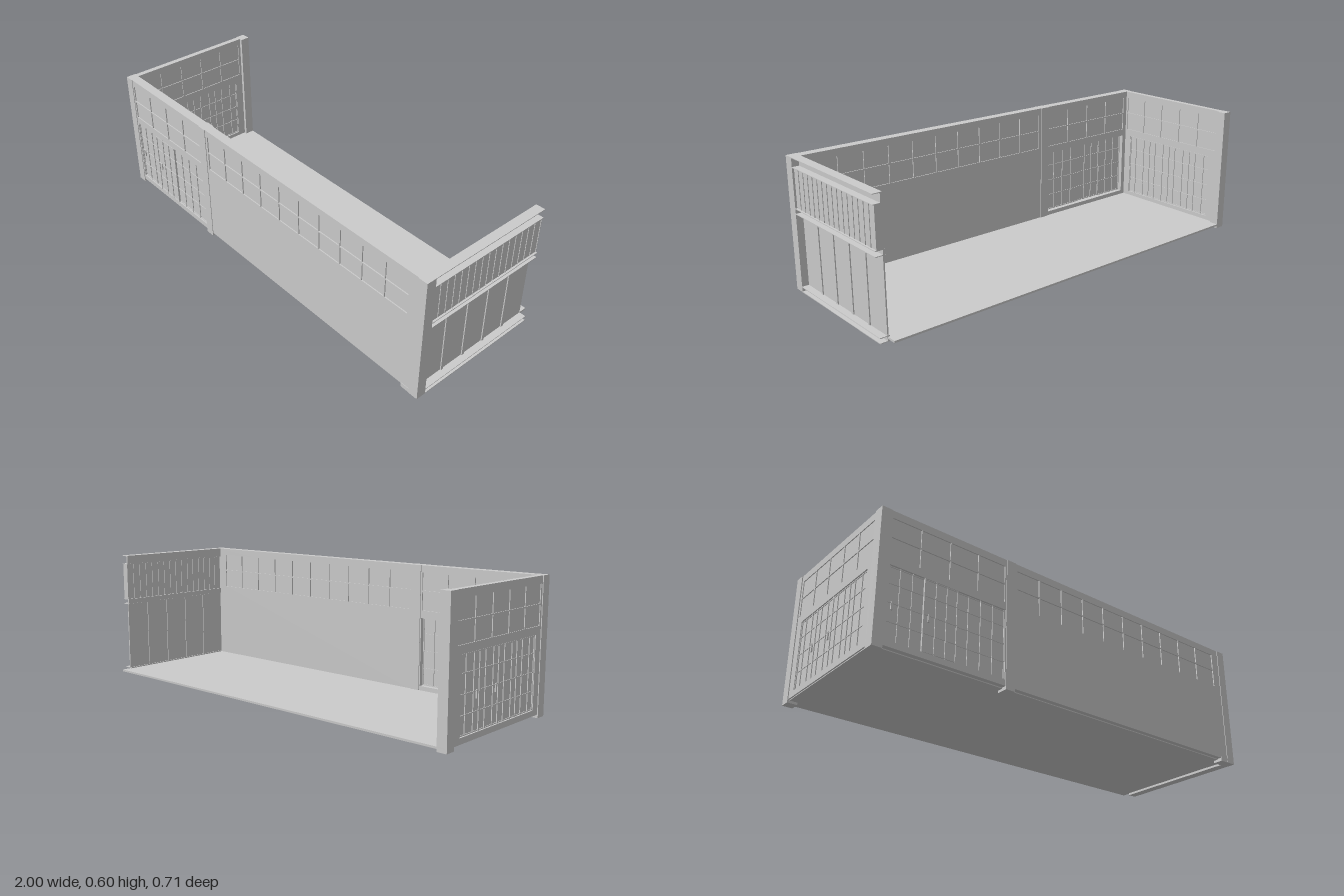
import * as THREE from 'three';

const mat = new THREE.MeshStandardMaterial({ color: 0xcccccc, flatShading: true });

// Box given by its minimum and maximum corners
function box(parent, name, x0, x1, y0, y1, z0, z1) {
  const m = new THREE.Mesh(new THREE.BoxGeometry(x1 - x0, y1 - y0, z1 - z0), mat);
  m.position.set((x0 + x1) / 2, (y0 + y1) / 2, (z0 + z1) / 2);
  m.name = name;
  parent.add(m);
  return m;
}

// Slab in the local XY plane with rectangular openings, centred on z = 0
function slab(parent, name, x0, x1, y0, y1, t, openings) {
  const rect = (p, a, b, c, d) => p.moveTo(a, c).lineTo(b, c).lineTo(b, d).lineTo(a, d).closePath();
  const shape = rect(new THREE.Shape(), x0, x1, y0, y1);
  for (const o of openings) shape.holes.push(rect(new THREE.Path(), ...o));
  const geo = new THREE.ExtrudeGeometry(shape, { depth: t, bevelEnabled: false });
  geo.translate(0, 0, -t / 2);
  const m = new THREE.Mesh(geo, mat);
  m.name = name;
  parent.add(m);
}

// Even split of a span into n bays
const split = (a, b, n) => Array.from({ length: n + 1 }, (_, i) => a + (b - a) * i / n);

// Two rows of shallow clerestory panels, set into openings of a slab
function clerestory(a, b, n) {
  const xs = split(a, b, n), g = 0.003, out = [];
  for (const [y0, y1] of [[0.39, 0.475], [0.481, 0.562]])
    for (let i = 0; i < n; i++) out.push([xs[i] + g, xs[i + 1] - g, y0, y1]);
  return out;
}

// Door leaf with stiles and rails on both faces
function doorLeaf(parent, name, a, b, z, bars) {
  const leaf = new THREE.Group();
  leaf.name = name;
  const y0 = 0.04, y1 = 0.355, t = 0.006, w = 0.004;
  box(leaf, 'leafPanel', a, b, y0, y1, z - t, z + t);
  for (const x of bars) box(leaf, 'stile', x - w / 2, x + w / 2, y0, y1, z - t - 0.004, z + t + 0.004);
  for (const y of [y0 + 0.004, 0.12, 0.2, 0.28, y1 - 0.004])
    box(leaf, 'rail', a, b, y - w / 2, y + w / 2, z - t - 0.003, z + t + 0.003);
  parent.add(leaf);
}

function handle(parent, x, z) {
  box(parent, 'doorHandle', x - 0.004, x + 0.004, 0.17, 0.205, z, z + 0.006);
}

export function createModel() {
  const model = new THREE.Group();
  model.name = 'openBackBuilding';

  box(model, 'floor', -0.99, 0.965, 0.011, 0.02, -0.355, 0.33);

  // Corner and intermediate posts reaching the ground
  box(model, 'frontLeftEndPost', -1, -0.955, 0, 0.595, 0.308, 0.355);
  box(model, 'backEndPost', -1, -0.955, 0, 0.595, -0.355, -0.31);
  box(model, 'middlePost', -0.395, -0.35, 0, 0.595, 0.304, 0.355);
  box(model, 'frontCornerPost', 0.955, 1, 0, 0.595, 0.308, 0.355);
  box(model, 'cornerFoot', 0.91, 0.956, 0, 0.02, 0.308, 0.354);

  // Long front wall
  const front = new THREE.Group();
  front.name = 'frontWall';
  front.position.z = 0.33;
  slab(front, 'longWall', -0.35, 0.955, 0.015, 0.595, 0.044, clerestory(-0.34, 0.915, 10));
  box(front, 'windowPanels', -0.345, 0.92, 0.38, 0.57, -0.017, 0.017);
  slab(front, 'doorWall', -0.955, -0.395, 0.015, 0.595, 0.044,
    [...clerestory(-0.95, -0.4, 4), [-0.947, -0.4, 0.04, 0.355]]);
  box(front, 'windowPanels', -0.953, -0.397, 0.38, 0.57, -0.017, 0.017);
  doorLeaf(front, 'fixedDoorLeft', -0.947, -0.79, 0.008, [-0.945, -0.895, -0.84]);
  doorLeaf(front, 'slidingDoor', -0.79, -0.635, 0.013, [-0.788, -0.735, -0.685, -0.637]);
  doorLeaf(front, 'fixedDoorRight', -0.635, -0.4, 0.008, [-0.58, -0.52, -0.46, -0.402]);
  handle(front, -0.925, 0.014);
  handle(front, -0.765, 0.019);
  model.add(front);

  // End wall with doors, turned to face -x
  const end = new THREE.Group();
  end.name = 'doorEndWall';
  end.position.x = -0.983;
  end.rotation.y = -Math.PI / 2;
  slab(end, 'endWall', -0.31, 0.31, 0.015, 0.595, 0.026,
    [...clerestory(-0.3, 0.3, 5), [-0.27, 0.27, 0.04, 0.355]]);
  box(end, 'windowPanels', -0.305, 0.305, 0.38, 0.57, -0.009, 0.009);
  const edges = split(-0.27, 0.27, 4);
  for (let i = 0; i < 4; i++) {
    const a = edges[i], b = edges[i + 1];
    doorLeaf(end, 'endDoor', a, b, 0, [a + 0.002, a + 0.04, b - 0.04, b - 0.002]);
    if (i < 2) handle(end, b - 0.018, 0.006);
  }
  model.add(end);

  // Panelled wall at the other end: channel beams open to the outside
  const panelWall = new THREE.Group();
  panelWall.name = 'panelledEndWall';
  const za = -0.31, zb = 0.31, f = 0.003;
  for (const [y0, y1] of [[0, 0.025], [0.35, 0.376], [0.551, 0.595]]) {
    box(panelWall, 'beamWeb', 0.958, 0.967, y0, y1, za, zb);
    box(panelWall, 'beamFlange', 0.957, 1, y0, y0 + f, za, zb);
    box(panelWall, 'beamFlange', 0.957, 1, y1 - f, y1, za, zb);
  }
  // Lower panels between narrow studs
  box(panelWall, 'lowerPanel', 0.962, 0.968, 0.025, 0.35, za, zb);
  for (const z of [0.184, 0.06, -0.063, -0.186])
    box(panelWall, 'stud', 0.958, 0.973, 0.025, 0.35, z - 0.0065, z + 0.0065);
  // Upper ribbed cladding
  box(panelWall, 'upperPanel', 0.965, 0.991, 0.375, 0.552, za, zb);
  for (const z of split(-0.309, 0.309, 16))
    box(panelWall, 'claddingRib', 0.962, 0.994, 0.375, 0.552, z - 0.001, z + 0.001);
  model.add(panelWall);

  return model;
}
